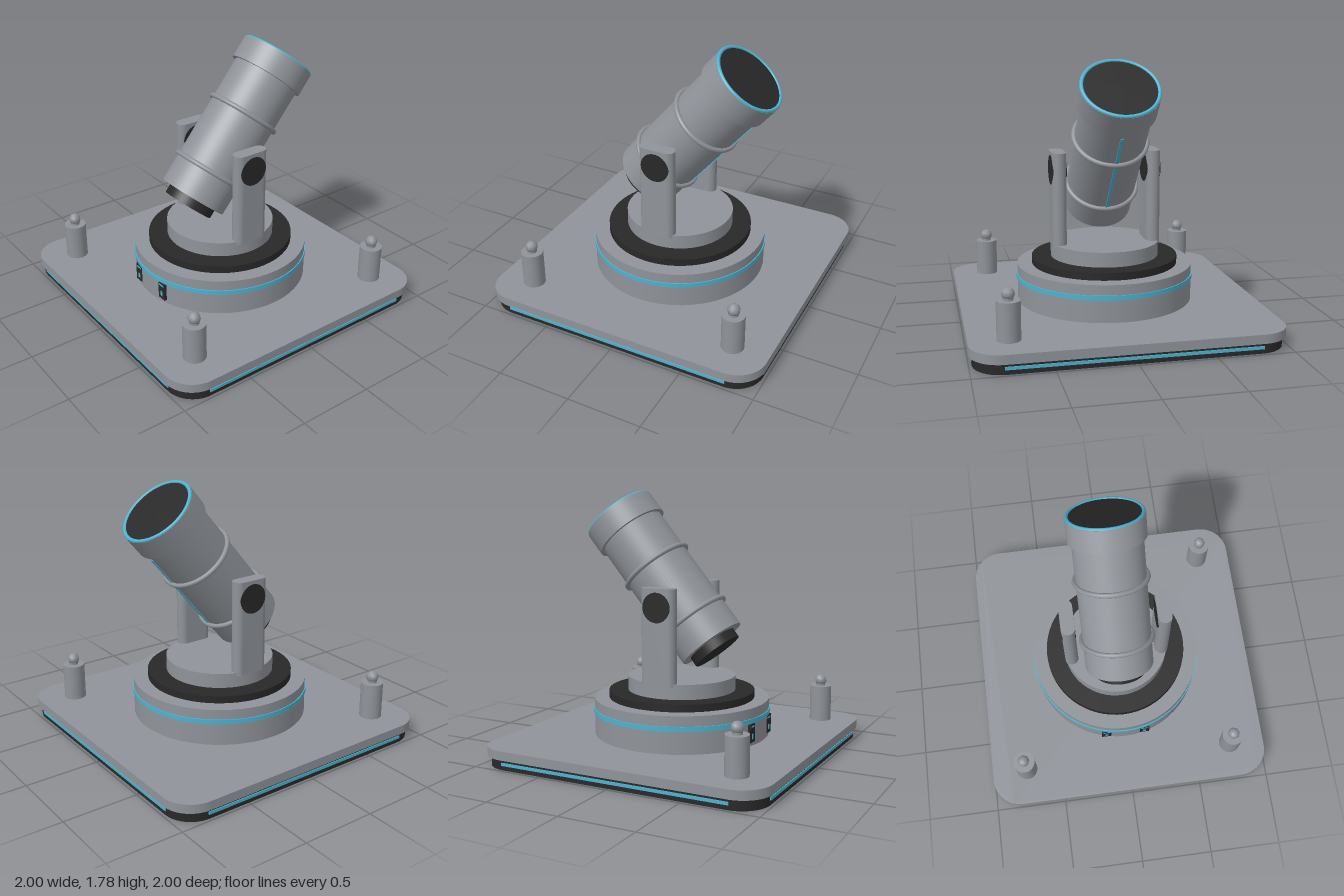
import * as THREE from 'three';

export function createModel() {
  const root = new THREE.Group();
  const material = (name, color) => {
    const m = new THREE.MeshStandardMaterial({ color });
    m.name = name;
    return m;
  };
  const grey = material('grey metal', 0x8f9399);
  const dark = material('dark rubber', 0x282828);
  const teal = material('teal trim', 0x4db2d0);

  const add = (name, geometry, mat, x = 0, y = 0, z = 0, parent = root) => {
    const mesh = new THREE.Mesh(geometry, mat);
    mesh.name = name;
    mesh.position.set(x, y, z);
    parent.add(mesh);
    return mesh;
  };
  // Upright cylinder between two heights
  const drum = (name, r, y0, y1, mat, parent = root, x = 0, z = 0) =>
    add(name, new THREE.CylinderGeometry(r, r, y1 - y0, 64), mat, x, (y0 + y1) / 2, z, parent);
  // Upright rounded-corner slab, w along x and d along z
  const slab = (name, w, d, r, y0, y1, mat, x = 0) => {
    const a = w / 2, b = d / 2, s = new THREE.Shape();
    s.moveTo(a, -b + r);
    s.lineTo(a, b - r);
    s.absarc(a - r, b - r, r, 0, Math.PI / 2);
    s.absarc(-a + r, b - r, r, Math.PI / 2, Math.PI);
    s.absarc(-a + r, -b + r, r, Math.PI, Math.PI * 1.5);
    s.absarc(a - r, -b + r, r, Math.PI * 1.5, Math.PI * 2);
    const g = new THREE.ExtrudeGeometry(s, { depth: y1 - y0, bevelEnabled: false, curveSegments: 12 });
    g.rotateX(-Math.PI / 2);
    return add(name, g, mat, x, y0, 0);
  };

  // Square base with a light strip on every side
  slab('basePad', 1.96, 1.96, 0.19, 0, 0.07, dark);
  slab('basePlate', 2, 2, 0.2, 0.07, 0.13, grey);
  for (const z of [-1, 1]) add('baseStrip', new THREE.BoxGeometry(1.6, 0.02, 0.008), teal, 0, 0.04, z * 0.982);
  for (const x of [-1, 1]) add('baseStrip', new THREE.BoxGeometry(0.008, 0.02, 1.6), teal, x * 0.982, 0.04, 0);

  // Stacked turntable
  drum('turntableDrum', 0.6, 0.13, 0.38, grey);
  drum('drumBand', 0.607, 0.28, 0.312, teal);
  drum('bearingRing', 0.5, 0.38, 0.43, dark);
  drum('yokeDisc', 0.37, 0.43, 0.53, grey);

  // Control panels on the drum front
  for (const side of [-1, 1]) {
    const x = side * 0.14;
    add('controlPanel', new THREE.BoxGeometry(0.07, 0.125, 0.03), dark, x, 0.217, 0.577);
    add('panelBar', new THREE.BoxGeometry(0.05, 0.012, 0.004), teal, x, 0.26, 0.592);
    add('panelLight', new THREE.BoxGeometry(0.022, 0.035, 0.004), teal, x, 0.195, 0.592);
  }

  // Posts with knobs on three corners
  for (const [x, z] of [[0.75, 0.75], [-0.75, 0.75], [0.75, -0.75]]) {
    drum('cornerPost', 0.075, 0.13, 0.38, grey, root, x, z);
    drum('knobNeck', 0.032, 0.38, 0.41, grey, root, x, z);
    add('knob', new THREE.SphereGeometry(0.042, 8, 6), grey, x, 0.418, z);
  }

  // Yoke arms with pivot discs through them
  for (const side of [-1, 1]) {
    slab('yokeArm', 0.094, 0.25, 0.046, 0.51, 1.155, grey, side * 0.323);
    const pivot = new THREE.CylinderGeometry(0.1, 0.1, 0.096, 40);
    pivot.rotateZ(Math.PI / 2);
    add('pivotDisc', pivot, dark, side * 0.323, 1.03, 0);
  }

  // Tilted tube, built upright around the pivot
  const tube = new THREE.Group();
  tube.name = 'tubeAssembly';
  tube.position.y = 1.03;
  tube.rotation.x = -THREE.MathUtils.degToRad(40);
  root.add(tube);
  const hoop = (name, r, t, y, mat) => {
    const g = new THREE.TorusGeometry(r, t, 10, 64);
    g.rotateX(Math.PI / 2);
    add(name, g, mat, 0, y, 0, tube);
  };
  drum('tubeBody', 0.235, -0.355, 0.62, grey, tube);
  drum('tubeCollar', 0.26, 0.6, 0.757, grey, tube);
  drum('frontLens', 0.235, 0.755, 0.762, dark, tube);
  drum('eyepiece', 0.175, -0.42, -0.35, dark, tube);
  hoop('lensRim', 0.246, 0.013, 0.757, teal);
  hoop('tubeHoop', 0.243, 0.017, 0.303, grey);
  hoop('tubeHoop', 0.243, 0.017, -0.145, grey);
  add('tubeStripe', new THREE.BoxGeometry(0.022, 0.7, 0.009), teal, 0, 0.2, -0.237, tube);

  return root;
}
